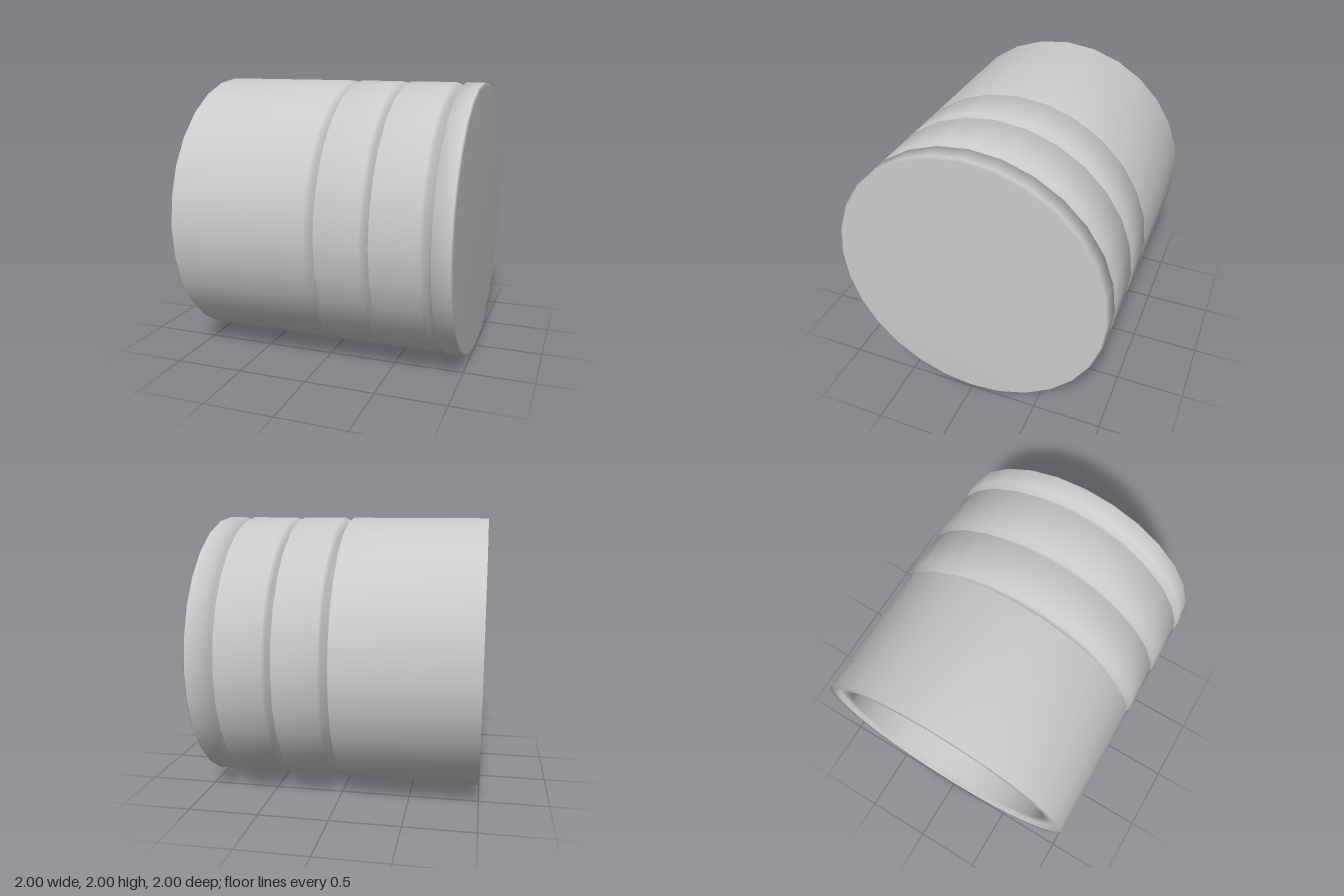
import * as THREE from 'three';
import { mergeVertices } from 'three/addons/utils/BufferGeometryUtils.js';

export function createModel() {
  const group = new THREE.Group();
  group.name = 'piston';

  const outer = 1, bore = 0.83, mouth = 0.93, grooveRadius = 0.9;
  const grooves = [[0, 0.07], [0.385, 0.45], [0.785, 0.86]];

  // Profile as (radius, axial position): bore floor, bore wall, stepped mouth, rim
  const profile = [[0, 0.84], [bore, 0.84], [bore, -0.97], [mouth, -0.97], [mouth, -1], [outer, -1]];

  // Skirt and ring grooves
  for (const [start, end] of grooves) {
    profile.push([outer, start], [grooveRadius, start], [grooveRadius, end], [outer, end]);
  }

  // Chamfered crown edge and closed crown
  profile.push([outer, 0.985], [0.985, 1], [0, 1]);

  const lathe = new THREE.LatheGeometry(profile.map(([r, a]) => new THREE.Vector2(r, a)), 28);
  lathe.rotateZ(-Math.PI / 2); // lay the axis along x, crown towards +x

  // Soft, area-weighted normals over every edge
  lathe.deleteAttribute('normal');
  lathe.deleteAttribute('uv');
  const geometry = mergeVertices(lathe);
  geometry.computeVertexNormals();

  const body = new THREE.Mesh(geometry, new THREE.MeshStandardMaterial({ color: 0xcccccc }));
  body.name = 'pistonBody';
  body.position.y = 1;
  group.add(body);
  return group;
}
